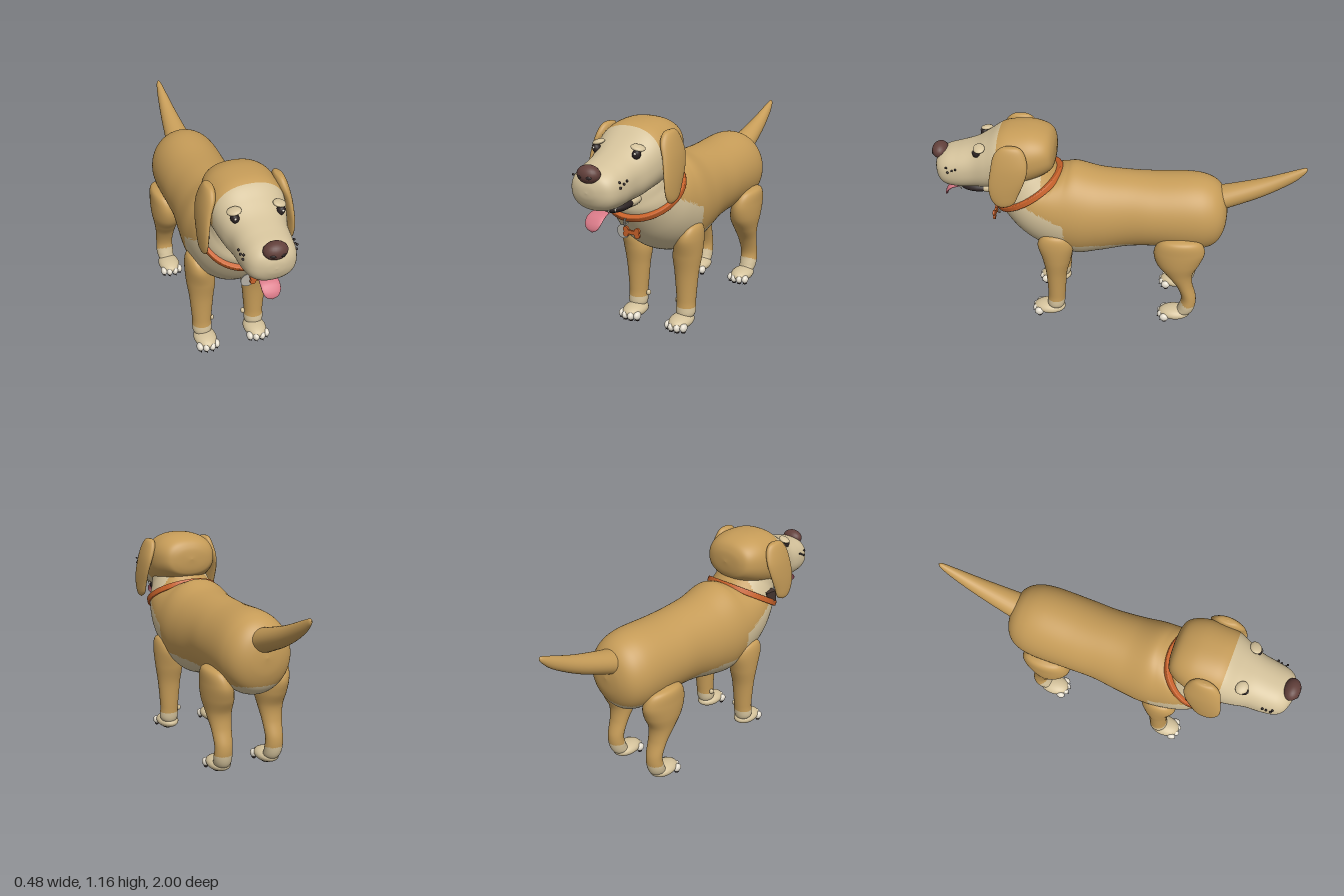
import * as THREE from 'three';

const mat = (name, color, side = THREE.FrontSide) => {
  const m = new THREE.MeshStandardMaterial({ color, side });
  m.name = name;
  return m;
};

export function createModel() {
  const dog = new THREE.Group();
  dog.name = 'dog';
  const tan = mat('tan coat', 0xc69c58), cream = mat('cream coat', 0xd4c29b);
  const brown = mat('nose brown', 0x62403b), dark = mat('dark', 0x2c2323);
  const pink = mat('tongue pink', 0xd97a88), orange = mat('collar orange', 0xc9622a);
  const white = mat('tooth white', 0xe6dfd0), grey = mat('tag grey', 0xb4b0a6);
  const leather = mat('buckle brown', 0x43342f);

  const add = (name, geo, material, pos = [0, 0, 0], rot = [0, 0, 0], parent = dog) => {
    const m = new THREE.Mesh(geo, material);
    m.name = name;
    m.position.set(...pos);
    m.rotation.set(...rot);
    parent.add(m);
    return m;
  };
  const ball = (name, material, pos, radii, rot) => {
    const m = add(name, new THREE.SphereGeometry(1, 24, 16), material, pos, rot);
    m.scale.set(...radii);
    return m;
  };

  // Smooth skin through oval sections. Row: [z1, y1, z2, y2, half width, centre x],
  // where (z1, y1) and (z2, y2) are opposite edges of the oval.
  function loft(rows, rings = 60, sides = 40, power = 1, mirror = 1) {
    const curve = f => new THREE.CatmullRomCurve3(rows.map(f), false, 'catmullrom', 0.5);
    const c1 = curve(r => new THREE.Vector3(0, r[1], r[0]));
    const c2 = curve(r => new THREE.Vector3(0, r[3], r[2]));
    const cw = curve(r => new THREE.Vector3(r[4], (r[5] || 0) * mirror, 0));
    const soft = v => Math.sign(v) * Math.abs(v) ** power;
    const pos = [], idx = [];
    for (let i = 0; i <= rings; i++) {
      const p = c1.getPoint(i / rings), q = c2.getPoint(i / rings), w = cw.getPoint(i / rings);
      for (let j = 0; j < sides; j++) {
        const a = j / sides * Math.PI * 2, s = soft(Math.cos(a)) / 2;
        pos.push(w.y + Math.max(w.x, 0) * soft(Math.sin(a)),
          (p.y + q.y) / 2 + (p.y - q.y) * s, (p.z + q.z) / 2 + (p.z - q.z) * s);
        if (i === rings) continue;
        const k = (j + 1) % sides, n = i * sides;
        idx.push(n + j, n + k, n + sides + j, n + k, n + sides + k, n + sides + j);
      }
    }
    // Turn the faces outward
    const v = n => new THREE.Vector3().fromArray(pos, n * 3);
    let volume = 0;
    for (let i = 0; i < idx.length; i += 3) volume += v(idx[i]).dot(v(idx[i + 1]).cross(v(idx[i + 2])));
    if (volume < 0) idx.reverse();
    const g = new THREE.BufferGeometry();
    g.setAttribute('position', new THREE.Float32BufferAttribute(pos, 3));
    g.setIndex(idx);
    g.computeVertexNormals();
    return g;
  }

  // Sort faces into two material groups: 0 tan, 1 where the rule holds
  function patch(g, rule) {
    const p = g.attributes.position, src = g.index.array, sets = [[], []];
    for (let i = 0; i < src.length; i += 3) {
      const t = [src[i], src[i + 1], src[i + 2]];
      const mid = f => t.reduce((s, n) => s + p[f](n), 0) / 3;
      sets[rule(mid('getY'), mid('getZ')) ? 1 : 0].push(...t);
    }
    g.setIndex([...sets[0], ...sets[1]]);
    g.addGroup(0, sets[0].length, 0);
    g.addGroup(sets[0].length, sets[1].length, 1);
    return g;
  }
  const coat = [tan, cream];

  // Body and neck
  const body = loft([
    [-.6, .67, -.6, .67, 0], [-.588, .75, -.587, .57, .09], [-.56, .815, -.55, .49, .15],
    [-.50, .86, -.49, .45, .185], [-.40, .88, -.40, .44, .2], [-.2, .873, -.2, .45, .2],
    [-.05, .878, -.05, .435, .197], [.1, .89, .1, .40, .21], [.22, .92, .24, .38, .222],
    [.27, .912, .42, .44, .22], [.30, .90, .55, .54, .212], [.32, .885, .652, .69, .192],
    [.38, .95, .665, .76, .168], [.44, 1, .64, .85, .14], [.55, .93, .55, .93, 0],
  ], 150, 90);
  add('body', patch(body, (y, z) => {
    const aboveCollar = (y - .787) * .857 + (z - .485) * .514 > 0;
    if (aboveCollar) return z > .4;
    return y < (z > .28 ? .66 + (z - .28) * .5 : .515);
  }), coat);

  // Head and muzzle
  const head = loft([
    [.325, 1.02, .325, 1.02, 0], [.335, 1.085, .335, .95, .1], [.37, 1.13, .36, .915, .15],
    [.45, 1.155, .44, .87, .183], [.55, 1.155, .54, .83, .19], [.62, 1.138, .62, .815, .184],
    [.69, 1.092, .70, .80, .165], [.76, 1.052, .77, .795, .144], [.84, 1.025, .85, .79, .136],
    [.91, 1.005, .92, .80, .124], [.955, .98, .955, .825, .098], [.977, .94, .975, .865, .05],
    [.982, .9, .982, .9, 0],
  ], 120, 80, .87);
  add('head', patch(head, (y, z) => z > .62 - Math.max(0, .95 - y) * .8), coat);

  // Nose, mouth and tongue
  ball('nose', brown, [0, .985, .955], [.06, .044, .044]);
  ball('mouth', dark, [0, .79, .76], [.088, .036, .115]);
  ball('lowerJaw', cream, [0, .79, .69], [.087, .04, .11]);
  add('tongue', loft([
    [.74, .79, .74, .775, .02], [.86, .787, .86, .77, .042], [.915, .775, .905, .758, .048],
    [.945, .745, .93, .738, .045], [.955, .717, .942, .715, .03], [.948, .7, .948, .7, 0],
  ], 30, 24), pink);

  // Tail
  add('tail', loft([
    [-.5, .81, -.5, .66, .08], [-.57, .822, -.57, .688, .074], [-.77, .878, -.77, .772, .049],
    [-.92, .934, -.92, .86, .027], [-.985, .957, -.985, .92, .013], [-1, .948, -1, .948, 0],
  ], 40, 32), tan);

  // Collar, buckle and tags
  const ring = new THREE.Shape().absellipse(0, 0, .203, .212, 0, Math.PI * 2);
  ring.holes.push(new THREE.Path().absellipse(0, 0, .18, .188, 0, Math.PI * 2));
  const band = new THREE.ExtrudeGeometry(ring, {
    depth: .02, bevelSize: .005, bevelThickness: .006, bevelSegments: 3, curveSegments: 48,
  });
  band.translate(0, 0, -.01);
  add('collar', band, orange, [0, .787, .485], [-1.03, 0, 0]);
  add('buckle', new THREE.BoxGeometry(.04, .065, .06), leather, [-.182, .805, .51], [-.1, -.3, 0]);
  add('tagRing', new THREE.TorusGeometry(.018, .004, 8, 24), grey, [0, .665, .668], [0, Math.PI / 2, 0]);
  add('tagLink', new THREE.CylinderGeometry(.004, .004, .05, 8), grey, [0, .645, .675]);
  add('roundTag', new THREE.CylinderGeometry(.036, .036, .006, 32), grey, [-.016, .612, .668], [Math.PI / 2, 0, 0]);
  const bone = new THREE.Group();
  bone.name = 'boneTag';
  bone.position.set(.04, .62, .68);
  dog.add(bone);
  add('boneBar', new THREE.BoxGeometry(.065, .02, .012), orange, [0, 0, 0], [0, 0, 0], bone);
  for (const x of [-.033, .033]) for (const y of [-.012, .012])
    add('boneKnob', new THREE.CylinderGeometry(.015, .015, .012, 20), orange, [x, y, 0], [Math.PI / 2, 0, 0], bone);

  for (const s of [-1, 1]) {
    const side = s > 0 ? 'left' : 'right';

    // Hanging ear
    add(side + 'Ear', loft([
      [.54, 1.124, .54, 1.124, 0, .178], [.59, 1.115, .49, 1.115, .021, .177],
      [.628, 1.07, .462, 1.075, .031, .185], [.645, 1, .452, 1.01, .027, .205],
      [.66, .91, .47, .94, .022, .218], [.655, .84, .505, .86, .02, .221],
      [.63, .79, .535, .8, .016, .22], [.59, .772, .59, .772, 0, .218],
    ], 50, 32, 1, s), tan);

    // Eye, glint, brow and nostril
    ball(side + 'Eye', dark, [s * .113, 1.038, .733], [.021, .026, .022], [0, 0, s * -.4]);
    ball(side + 'EyeGlint', white, [s * .117, 1.045, .752], [.006, .006, .005]);
    ball(side + 'Brow', cream, [s * .112, 1.067, .717], [.036, .013, .03], [.2, s * .4, s * -.3]);
    ball(side + 'Nostril', dark, [s * .026, .978, .992], [.014, .008, .005], [0, s * .4, 0]);

    // Whisker spots and upper teeth
    for (const [y, z] of [[.95, .9], [.935, .87], [.922, .895], [.945, .85]])
      ball('whiskerSpot', dark, [s * (.13 + (.9 - z) * .13), y, z], [.006, .006, .006]);
    for (const [x, z, h] of [[.066, .85, .034], [.045, .875, .02]])
      add(side + 'Tooth', new THREE.ConeGeometry(.01, h, 12), white, [s * x, .79, z], [Math.PI, 0, 0]);

    // Front and rear legs
    const front = loft([
      [.34, .592, .34, .592, 0, .195], [.40, .57, .27, .57, .034, .192],
      [.43, .51, .236, .51, .062, .174], [.412, .41, .25, .41, .078, .153],
      [.395, .3, .277, .3, .066, .15], [.39, .15, .291, .15, .053, .15],
      [.395, .07, .3, .07, .05, .15], [.36, .03, .33, .03, 0, .147],
    ], 90, 40, 1, s);
    const rear = loft([
      [-.35, .592, -.35, .592, 0, .185], [-.25, .57, -.45, .57, .05, .18],
      [-.208, .5, -.485, .5, .073, .165], [-.222, .41, -.465, .42, .08, .155],
      [-.28, .33, -.428, .34, .068, .152], [-.338, .25, -.428, .26, .056, .15],
      [-.37, .16, -.452, .17, .049, .15], [-.355, .09, -.45, .1, .05, .15],
      [-.34, .05, -.43, .05, .04, .147], [-.39, .03, -.39, .03, 0, .147],
    ], 90, 40, 1, s);
    add(side + 'FrontLeg', patch(front, y => y < .115), coat);
    add(side + 'RearLeg', patch(rear, (y, z) => y < .115 + Math.max(0, z + .4) * .6), coat);
    ball(side + 'Dewclaw', cream, [s * .092, .13, .335], [.013, .016, .014]);

    // Paws with toes, claws and pads
    for (const z of [.385, -.335]) {
      ball(side + 'Paw', cream, [s * .145, .043, z], [.062, .037, .09]);
      ball(side + 'PawPad', dark, [s * .145, .012, z - .01], [.034, .012, .032]);
      [-.047, -.017, .017, .047].forEach((dx, i) => {
        const reach = z + (i % 3 ? .073 : .058), x = s * .145 + dx;
        ball('toe', white, [x, .032, reach], [.019, .023, .026]);
        ball('toePad', dark, [x, .011, reach - .002], [.011, .011, .014]);
        add('claw', new THREE.ConeGeometry(.007, .024, 10), dark, [x, .017, reach + .018], [2.1, 0, 0]);
      });
    }
  }
  return dog;
}
